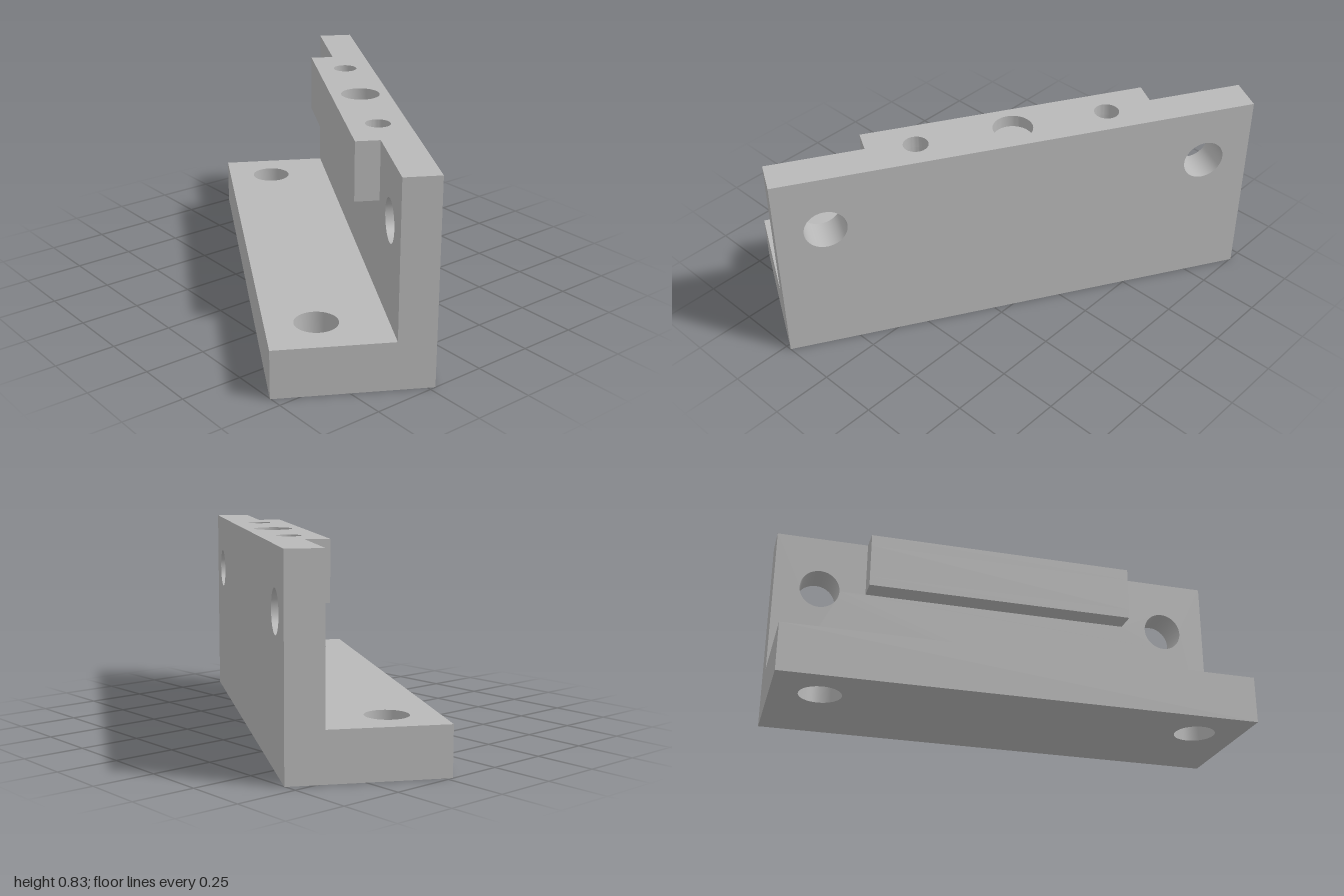
import * as THREE from 'three';
import { toCreasedNormals } from 'three/addons/utils/BufferGeometryUtils.js';

const HALF = 0.978;              // half length of the bracket
const BACK = -0.305, FRONT = 0.305;
const WALL = -0.16;              // front face of the wall
const LEDGE = -0.063;            // front face of the ledge
const LEDGE_HALF = 0.586;
const BASE_TOP = 0.197, LEDGE_Y = 0.59, TOP = 0.83;

const outline = (points) => new THREE.Shape(points.map(([x, y]) => new THREE.Vector2(x, y)));

function extrude(shape, holes, depth) {
  for (const [x, y, r] of holes) {
    const path = new THREE.Path();
    path.absarc(x, y, r, 0, Math.PI * 2, true);
    shape.holes.push(path);
  }
  const geometry = new THREE.ExtrudeGeometry(shape, { depth, bevelEnabled: false, curveSegments: 24 });
  return toCreasedNormals(geometry, 0.6);
}

// Horizontal slab with vertical holes given as [x, z, radius]
function slab(half, z0, z1, y0, y1, holes = []) {
  const shape = outline([[-half, -z1], [half, -z1], [half, -z0], [-half, -z0]]);
  return extrude(shape, holes.map(([x, z, r]) => [x, -z, r]), y1 - y0)
    .rotateX(-Math.PI / 2)
    .translate(0, y0, 0);
}

export function createModel() {
  const model = new THREE.Group();
  model.name = 'angleBracket';
  const grey = new THREE.MeshStandardMaterial({ color: 0xb8b8b8 });
  grey.name = 'plain grey';

  const add = (name, geometry) => {
    const mesh = new THREE.Mesh(geometry, grey);
    mesh.name = name;
    model.add(mesh);
  };

  // Foot plate with two mounting holes
  add('footPlate', slab(HALF, WALL, FRONT, 0, BASE_TOP, [[-0.783, 0.109, 0.085], [0.783, 0.109, 0.085]]));

  // Upright wall with two through holes, notched to take the ledge block
  const wall = outline([
    [-HALF, 0], [HALF, 0], [HALF, TOP], [LEDGE_HALF, TOP],
    [LEDGE_HALF, LEDGE_Y], [-LEDGE_HALF, LEDGE_Y], [-LEDGE_HALF, TOP], [-HALF, TOP],
  ]);
  add('wall', extrude(wall, [[-0.783, 0.59, 0.085], [0.783, 0.59, 0.085]], WALL - BACK).translate(0, 0, BACK));

  // Ledge block in layers: a shallow centre recess and two deeper blind holes
  const pins = [[-0.391, -0.186, 0.05], [0.391, -0.186, 0.05]];
  const recess = [0, -0.186, 0.08];
  const recessY = TOP - 0.05, pinY = TOP - 0.2;
  add('ledgeTop', slab(LEDGE_HALF, BACK, LEDGE, recessY, TOP, [...pins, recess]));
  add('ledgeMiddle', slab(LEDGE_HALF, BACK, LEDGE, pinY, recessY, pins));
  add('ledgeBottom', slab(LEDGE_HALF, BACK, LEDGE, LEDGE_Y, pinY));

  // The whole bracket is turned about the vertical axis
  model.rotation.y = -Math.PI / 6;
  return model;
}
